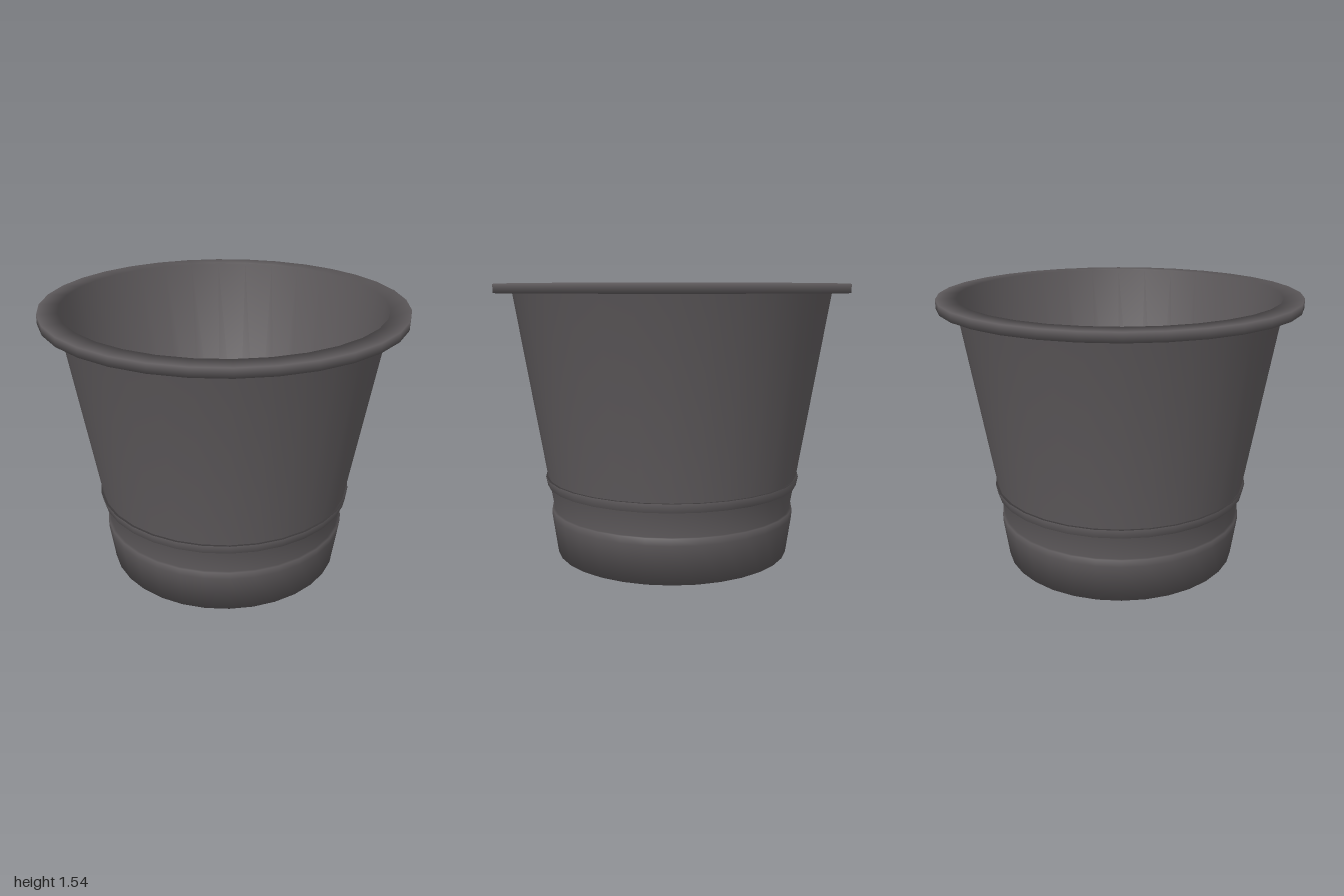
import * as THREE from 'three';

export function createModel() {
  const group = new THREE.Group();
  group.name = 'flowerPot';

  const plastic = new THREE.MeshStandardMaterial({ color: 0x5e5a5c });
  plastic.name = 'dark grey plastic';

  // Closed profile: underside, outer wall, rim, then back down the inside
  const profile = [
    [0, 0],
    [0.674, 0],                      // foot
    [0.705, 0.22], [0.705, 0.26],    // lower band
    [0.69, 0.26],                    // step back into the groove
    [0.713, 0.40],
    [0.727, 0.40], [0.737, 0.45],    // raised ring
    [0.724, 0.45],
    [0.895, 1.49],                   // main wall
    [1, 1.49], [1, 1.54],            // rim lip
    [0.89, 1.54],
    [0.655, 0.04],                   // inner wall
    [0, 0.04],                       // inner floor
  ].map(([r, y]) => new THREE.Vector2(r, y));

  const pot = new THREE.Mesh(new THREE.LatheGeometry(profile, 32), plastic);
  pot.name = 'pot';
  group.add(pot);
  return group;
}
